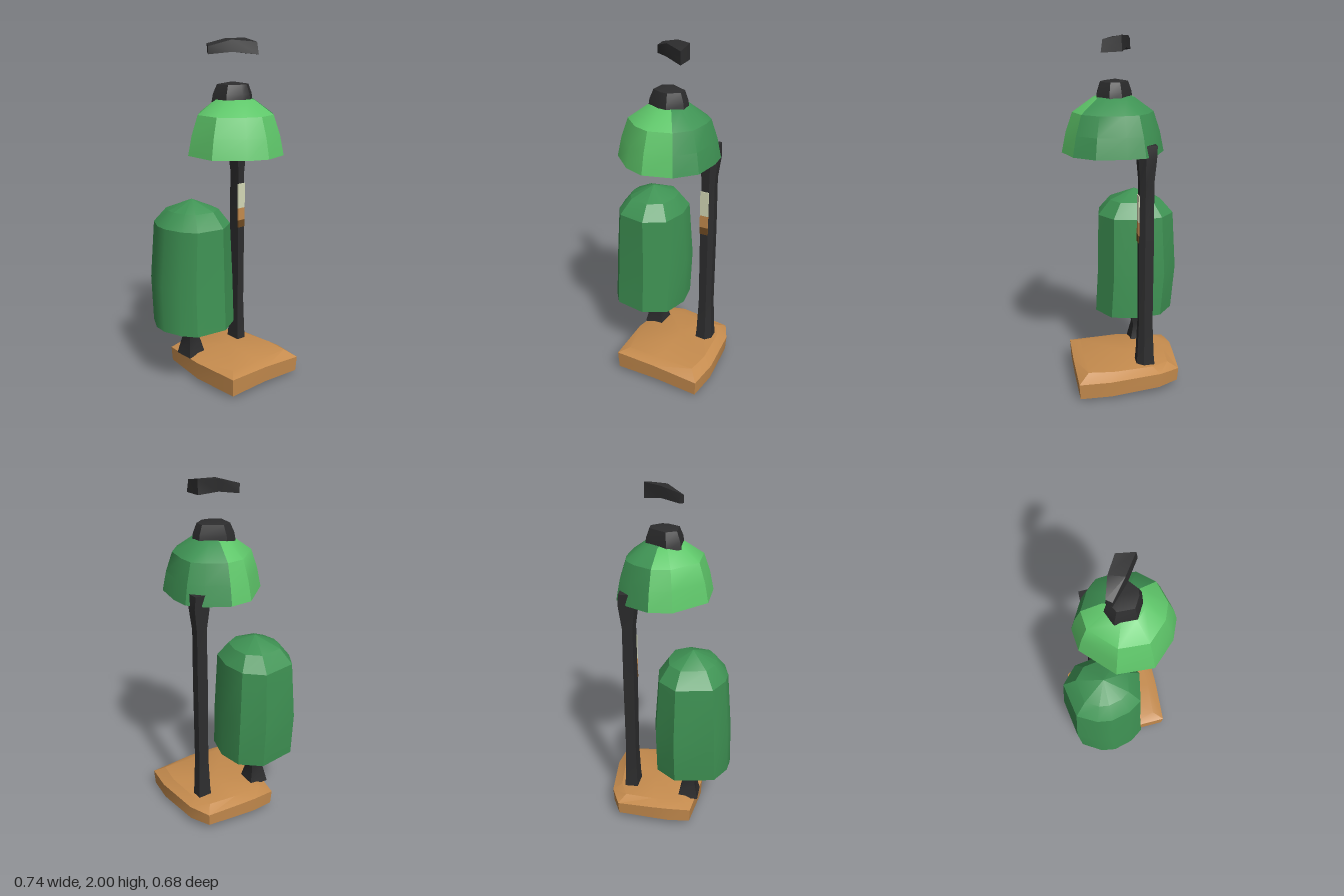
import * as THREE from 'three';
import { toCreasedNormals } from 'three/addons/utils/BufferGeometryUtils.js';

const mat = (name, color) => Object.assign(new THREE.MeshStandardMaterial({ color }), { name });

// Skin between rings of [x, y, z] points (counter-clockwise seen from above, bottom to top).
// from/to pick a sector; capLow/capHigh are optional points closing the ends.
function loft(rings, { from = 0, to = rings[0].length, capLow, capHigh, flip = false, crease = 0.5 } = {}) {
  const pos = [];
  const tri = (a, b, c) => pos.push(...a, ...(flip ? c : b), ...(flip ? b : c));
  const n = rings[0].length, last = rings[rings.length - 1];
  for (let i = from; i < to; i++) {
    const j = (i + 1) % n;
    for (let k = 0; k + 1 < rings.length; k++) {
      const a = rings[k], b = rings[k + 1];
      tri(a[i], a[j], b[j]);
      tri(a[i], b[j], b[i]);
    }
    if (capLow) tri(capLow, rings[0][j], rings[0][i]);
    if (capHigh) tri(capHigh, last[i], last[j]);
  }
  const g = new THREE.BufferGeometry();
  g.setAttribute('position', new THREE.Float32BufferAttribute(pos, 3));
  return toCreasedNormals(g, crease);
}

// Scale an [x, z] outline about a centre and lift it to height y
const ring = (outline, [cx, cz], y, s, sz = s, dx = 0, dz = 0) =>
  outline.map(([x, z]) => [cx + (x - cx) * s + dx, y, cz + (z - cz) * sz + dz]);

export function createModel() {
  const model = new THREE.Group();
  const wood = mat('wood', 0xc68c4e), darkWood = mat('darkWood', 0x6e4a22);
  const black = mat('blackMetal', 0x2d2d2e), cream = mat('cream', 0xd6dab8);
  const leaf = mat('leafGreen', 0x3f9354), light = mat('lightGreen', 0x5fc76a);
  const add = (name, geometry, material) => {
    const m = new THREE.Mesh(geometry, material);
    m.name = name;
    model.add(m);
    return m;
  };

  // Base: irregular slab with a gently domed top
  const slab = [[0.355, 0.298], [0.372, 0.12], [0.34, -0.17], [0.28, -0.29], [0.07, -0.305],
    [-0.03, -0.31], [-0.16, -0.29], [-0.195, 0], [-0.175, 0.297], [0.08, 0.303]];
  const bc = [0.09, 0];
  const topY = [0.1, 0.11, 0.12, 0.115, 0.125, 0.13, 0.12, 0.13, 0.125, 0.125];
  const lowY = [0.01, 0.02, 0.035, 0.04, 0.04, 0.04, 0.035, 0.025, 0.02, 0.03];
  const lift = (r, ys) => r.map(([x, , z], i) => [x, ys[i], z]);
  add('base', loft([
    lift(ring(slab, bc, 0, 0.98), lowY), lift(ring(slab, bc, 0, 1), topY), ring(slab, bc, 0.145, 0.8),
  ], { capLow: [0.09, 0, 0], capHigh: [0.09, 0.155, -0.03], crease: 0.4 }), wood);

  // Bush: tall faceted column with a domed crown
  const crown = [[0.08, -0.1], [0.05, -0.25], [-0.07, -0.345], [-0.3, -0.3], [-0.365, -0.18],
    [-0.375, -0.09], [-0.34, 0.03], [-0.28, 0.11], [-0.09, 0.14], [0.045, 0.06]];
  const cc = [-0.15, -0.1];
  add('bush', loft([
    ring(crown, cc, 0.355, 0.98, 0.95, 0, 0.012), ring(crown, cc, 0.62, 0.98, 0.97, 0.003, -0.006),
    ring(crown, cc, 0.96, 0.87, 0.92, 0.005, 0), ring(crown, cc, 1.045, 0.6, 0.62, 0.01, 0),
  ], { capLow: [-0.13, 0.32, -0.09], capHigh: [-0.14, 1.105, -0.1] }), leaf);

  // Trunk: pinched in the middle
  const stem = [[-0.07, -0.07], [-0.07, -0.19], [-0.19, -0.19], [-0.19, -0.07]];
  const tc = [-0.135, -0.13];
  add('trunk', loft([ring(stem, tc, 0.13, 1), ring(stem, tc, 0.235, 0.62), ring(stem, tc, 0.345, 1.08)],
    { capLow: [-0.13, 0.13, -0.13], capHigh: [-0.13, 0.345, -0.13] }), black);

  // Pole: five-sided, flared at both ends
  const post = [[0.24, -0.06], [0.262, -0.09], [0.258, -0.14], [0.195, -0.14], [0.19, -0.06]];
  const pc = [0.225, -0.1];
  add('pole', loft([
    ring(post, pc, 0.13, 1.3), ring(post, pc, 0.2, 1.15), ring(post, pc, 0.4, 0.95), ring(post, pc, 0.9, 1),
    ring(post, pc, 1.22, 0.95), ring(post, pc, 1.36, 1.45, 1.2), ring(post, pc, 1.43, 1.3),
  ], { capLow: [0.225, 0.13, -0.1], capHigh: [0.225, 1.43, -0.1] }), black);

  // Painted bands on the front of the pole
  [['creamBand', cream, 1.0, 1.15], ['woodBand', wood, 0.925, 1.0], ['darkBand', darkWood, 0.88, 0.925]]
    .forEach(([name, m, y0, y1]) => {
      add(name, new THREE.BoxGeometry(0.052, y1 - y0, 0.008), m).position.set(0.214, (y0 + y1) / 2, -0.06);
    });

  // Shade: open faceted dome, leaf green on one sector and light green on the rest
  const rim = [[0.2, 0.295], [0.295, 0.185], [0.31, 0.02], [0.295, -0.085], [0.22, -0.16], [0.09, -0.225],
    [-0.04, -0.21], [-0.21, -0.04], [-0.215, 0.165], [-0.08, 0.295], [0.04, 0.34]];
  const sc = [0.05, 0.05];
  const outer = [ring(rim, sc, 1.368, 1), ring(rim, sc, 1.48, 0.92), ring(rim, sc, 1.59, 0.79), ring(rim, sc, 1.67, 0.4)];
  const inner = [ring(rim, sc, 1.375, 0.94), ring(rim, sc, 1.48, 0.85), ring(rim, sc, 1.57, 0.7)];
  const apex = [0.05, 1.68, 0.05];
  const sectors = [['shadeLeafSide', leaf, 0, 5], ['shadeLightSide', light, 5, 11]];
  for (const [name, m, from, to] of sectors) {
    add(name, loft(outer, { from, to, capHigh: apex, crease: 0.6 }), m);
    add(name + 'Rim', loft([inner[0], outer[0]], { from, to }), m);
  }
  add('shadeLining', loft(inner, { capHigh: [0.05, 1.6, 0.05], flip: true }), cream);

  // Cap on the shade
  const knob = [[0.155, 0.09], [0.15, 0.02], [0.02, -0.06], [-0.055, -0.02], [-0.055, 0.1], [0.03, 0.145], [0.08, 0.15]];
  add('shadeCap', loft([ring(knob, sc, 1.655, 1), ring(knob, sc, 1.7, 0.94), ring(knob, sc, 1.752, 0.76)],
    { capLow: [0.05, 1.655, 0.05], capHigh: [0.045, 1.766, 0.04] }), black);

  // Handle: bent bar floating above the cap, four corners per section
  const bar = [
    [[-0.055, 1.97, -0.06], [-0.07, 1.955, -0.03], [-0.07, 1.912, -0.03], [-0.05, 1.918, -0.06]],
    [[0.05, 1.996, -0.03], [0.03, 1.99, 0.05], [0.03, 1.925, 0.06], [0.05, 1.93, -0.02]],
    [[0.15, 2.0, 0.025], [0.15, 1.978, 0.125], [0.155, 1.91, 0.135], [0.15, 1.915, 0.02]],
  ];
  add('handle', loft(bar, { capLow: [-0.061, 1.94, -0.045], capHigh: [0.151, 1.95, 0.076], flip: false }), black)
    .material = Object.assign(black, { side: THREE.DoubleSide });
  return model;
}
